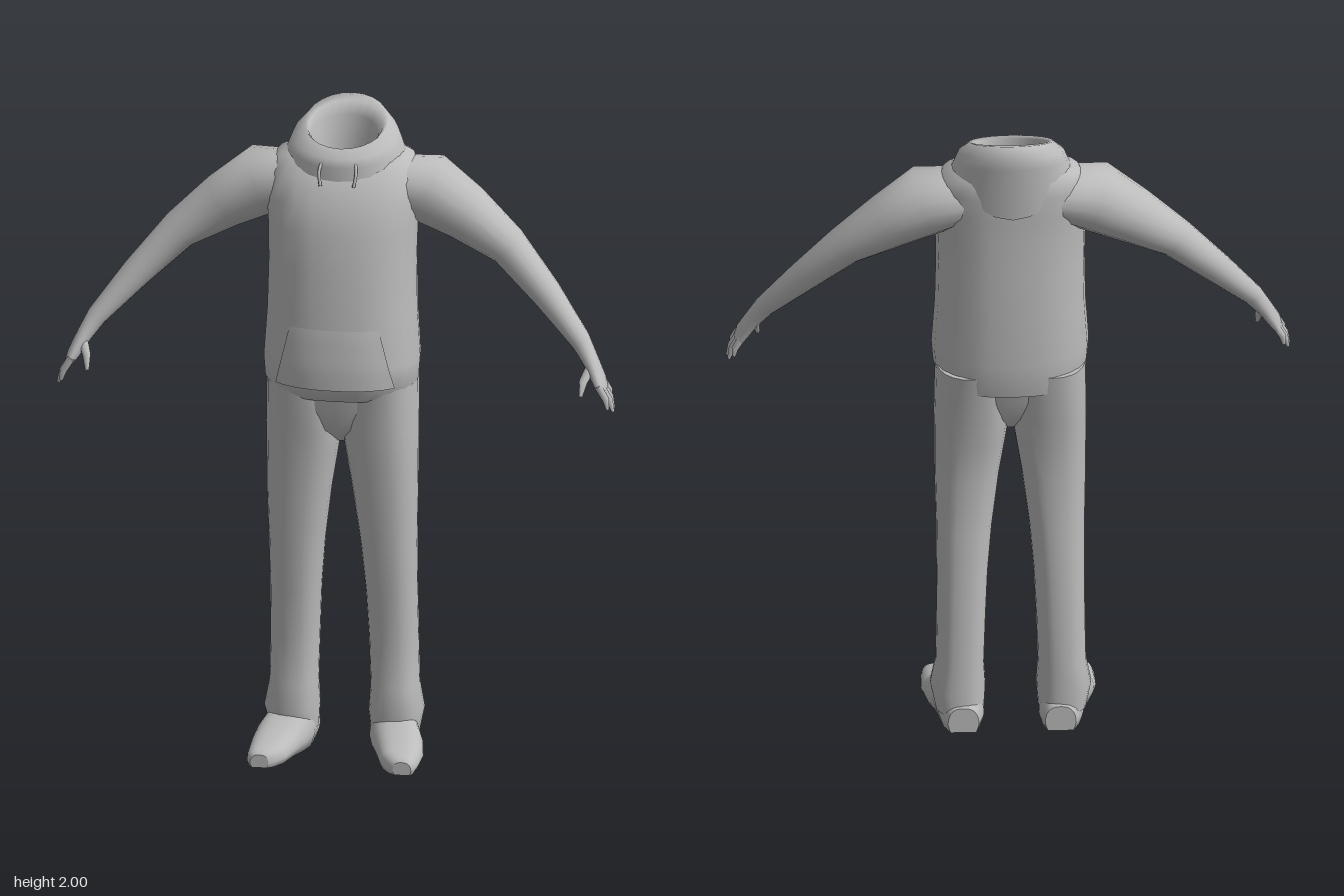
import * as THREE from 'three';

const cloth = new THREE.MeshStandardMaterial({ color: 0xbcbcbc, side: THREE.DoubleSide });
cloth.name = 'plain grey';

const V = (x, y, z) => new THREE.Vector3(x, y, z);
const N = 24;

// Ring point of a rounded section: c centre, u and v half-axis vectors, n squareness
function ringPoint(c, u, v, a, n = 2) {
  const p = (t) => Math.sign(t) * Math.pow(Math.abs(t), 2 / n);
  return c.clone().addScaledVector(u, p(Math.cos(a))).addScaledVector(v, p(Math.sin(a)));
}
function ring(c, u, v, n, count = N) {
  return Array.from({ length: count }, (_, i) => ringPoint(c, u, v, (i / count) * Math.PI * 2, n));
}

// Skin over rings; side = -1 mirrors across x
function loft(name, rings, { side = 1, capStart = true, capEnd = true } = {}) {
  const n = rings[0].length, pos = [], idx = [];
  const put = (p) => pos.push(p.x * side, p.y, p.z);
  const tri = (a, b, c) => (side > 0 ? idx.push(a, b, c) : idx.push(a, c, b));
  rings.forEach((r) => r.forEach(put));
  for (let j = 0; j < rings.length - 1; j++) {
    for (let i = 0; i < n; i++) {
      const a = j * n + i, b = j * n + ((i + 1) % n);
      tri(a, a + n, b);
      tri(b, a + n, b + n);
    }
  }
  const cap = (r, start, end) => {
    const k = pos.length / 3;
    // separate rim vertices keep the cap edge crisp
    r.forEach(put);
    put(r.reduce((s, p) => s.add(p), V(0, 0, 0)).divideScalar(n));
    for (let i = 0; i < n; i++) {
      const a = k + i, b = k + ((i + 1) % n);
      start ? tri(a, b, k + n) : tri(b, a, k + n);
    }
  };
  if (capStart) cap(rings[0], true);
  if (capEnd) cap(rings[rings.length - 1], false);
  return meshFrom(name, pos, idx);
}
function meshFrom(name, pos, idx) {
  const g = new THREE.BufferGeometry();
  g.setAttribute('position', new THREE.Float32BufferAttribute(pos, 3));
  g.setIndex(idx);
  g.computeVertexNormals();
  const m = new THREE.Mesh(g, cloth);
  m.name = name;
  return m;
}

// Horizontal section: [y, x min, x max, z front, z back]
const flat = ([y, x0, x1, zf, zb], n) =>
  ring(V((x0 + x1) / 2, y, (zf + zb) / 2), V((x1 - x0) / 2, 0, 0), V(0, 0, (zf - zb) / 2), n);

// Torso sections: [y, half width, z front, z back]
const torso = [
  [1.14, 0.215, 0.14, -0.175], [1.185, 0.23, 0.18, -0.185], [1.25, 0.235, 0.182, -0.19],
  [1.4, 0.225, 0.172, -0.193], [1.55, 0.222, 0.158, -0.192], [1.66, 0.225, 0.142, -0.19],
  [1.74, 0.232, 0.122, -0.192], [1.81, 0.23, 0.085, -0.195], [1.86, 0.205, 0.04, -0.19],
  [1.885, 0.15, 0.0, -0.17],
];
function torsoAt(y) {
  let i = 0;
  while (i < torso.length - 2 && torso[i + 1][0] < y) i++;
  const t = (y - torso[i][0]) / (torso[i + 1][0] - torso[i][0]);
  return torso[i].map((v, k) => v + (torso[i + 1][k] - v) * t);
}

// Front pouch laid over the belly
function pocket() {
  const rows = 8, cols = 12, pos = [], idx = [];
  for (let j = 0; j <= rows; j++) {
    const t = j / rows, [y, w, zf, zb] = torsoAt(1.19 + 0.185 * t);
    const half = 0.18 - 0.045 * t;
    for (let i = 0; i <= cols; i++) {
      const x = half * (i / cols * 2 - 1);
      const z = (zf + zb) / 2 + (zf - zb) / 2 * Math.pow(1 - Math.pow(Math.abs(x) / w, 2.3), 1 / 2.3);
      pos.push(x, y, z + 0.006 * Math.sqrt(1 - t) + 0.001);
      if (i < cols && j < rows) {
        const a = j * (cols + 1) + i, b = a + cols + 1;
        idx.push(a, a + 1, b, a + 1, b + 1, b);
      }
    }
  }
  return meshFrom('frontPocket', pos, idx);
}

// Tilted hood ring: low in front, high behind, with an optional dip at the back
function hoodRing([cz, rx, rz, y, tilt, dip = 0]) {
  return Array.from({ length: N }, (_, i) => {
    const a = (i / N) * Math.PI * 2, s = Math.sin(a);
    return V(rx * Math.cos(a), y - tilt * s - dip * Math.max(0, -s) ** 3, cz + rz * s);
  });
}

// Limb along a path in x/y: sections [x, y, z, in-plane radius, z radius]
function limb(name, secs, side, count) {
  return loft(name, secs.map(([x, y, z, r, b], i) => {
    const p = secs[Math.max(0, i - 1)], q = secs[Math.min(secs.length - 1, i + 1)];
    const d = V(q[0] - p[0], q[1] - p[1], 0).normalize();
    return ring(V(x, y, z), V(d.y * r, -d.x * r, 0), V(0, 0, b), 2, count);
  }), { side });
}

const arm = [
  [0.13, 1.775, -0.065, 0.08, 0.1], [0.255, 1.757, -0.07, 0.106, 0.113], [0.365, 1.688, -0.065, 0.086, 0.088],
  [0.495, 1.597, -0.045, 0.06, 0.065], [0.62, 1.468, 0.002, 0.046, 0.05], [0.73, 1.345, 0.055, 0.031, 0.036],
  [0.765, 1.29, 0.08, 0.024, 0.038], [0.793, 1.24, 0.1, 0.02, 0.05], [0.805, 1.215, 0.105, 0.014, 0.048],
];
const leg = [
  [0.05, 0.08, 0.225, 0.03, -0.14], [0.12, 0.075, 0.24, 0.05, -0.14], [0.2, 0.08, 0.225, 0.038, -0.138],
  [0.35, 0.075, 0.222, 0.036, -0.135], [0.5, 0.068, 0.221, 0.055, -0.128], [0.65, 0.055, 0.222, 0.073, -0.12],
  [0.82, 0.033, 0.226, 0.09, -0.112], [0.95, 0.012, 0.227, 0.104, -0.128], [1.03, 0, 0.228, 0.115, -0.142],
  [1.2, 0, 0.225, 0.138, -0.172],
];
// Shoe sections: [z, centre x, half width, height]
const shoe = [
  [-0.145, 0.145, 0.05, 0.08], [-0.1, 0.148, 0.072, 0.12], [0, 0.158, 0.082, 0.135], [0.05, 0.175, 0.085, 0.105],
  [0.1, 0.19, 0.077, 0.073], [0.17, 0.2, 0.064, 0.06], [0.205, 0.21, 0.048, 0.052], [0.218, 0.215, 0.03, 0.04],
];

export function createModel() {
  const model = new THREE.Group();
  model.name = 'hoodedFigure';

  // Hooded top
  model.add(loft('torso', torso.map(([y, w, f, b]) => flat([y, -w, w, f, b], 2.3)), { capEnd: false }));
  model.add(pocket());
  model.add(loft('hood', [
    [-0.06, 0.2, 0.14, 1.815, 0.035, 0.1], [-0.068, 0.17, 0.15, 1.89, 0.035], [-0.07, 0.158, 0.143, 1.92, 0.04],
    [-0.078, 0.125, 0.125, 1.953, 0.046], [-0.065, 0.112, 0.105, 1.943, 0.044], [-0.045, 0.1, 0.09, 1.915, 0.04],
    [-0.05, 0.092, 0.085, 1.82, 0.01], [-0.05, 0.07, 0.07, 1.72, 0],
  ].map(hoodRing), { capStart: false }));

  // Hips joining the two legs
  model.add(loft('hips', [
    [0.98, -0.02, 0.02, 0.03, -0.06], [1.03, -0.1, 0.1, 0.095, -0.11],
    [1.1, -0.19, 0.19, 0.12, -0.14], [1.2, -0.215, 0.215, 0.135, -0.165],
  ].map((s) => flat(s, 2.3))));

  for (const side of [1, -1]) {
    const tag = side > 0 ? 'left' : 'right';
    model.add(limb(tag + 'Arm', arm, side, 16));

    // Four fingers and a thumb
    [[0.063, 1.175, 0.82], [0.092, 1.152, 0.834], [0.12, 1.15, 0.837], [0.148, 1.165, 0.825]].forEach(([z, y, x], i) => {
      const z0 = 0.068 + i * 0.025;
      model.add(limb(tag + 'Finger' + (i + 1), [
        [0.795, 1.235, z0, 0.012, 0.013], [(0.805 + x) / 2 + 0.004, (1.225 + y) / 2, (z0 + z) / 2, 0.011, 0.011], [x, y, z, 0.005, 0.005],
      ], side, 8));
    });
    model.add(limb(tag + 'Thumb', [
      [0.77, 1.285, 0.09, 0.016, 0.018], [0.75, 1.245, 0.135, 0.013, 0.014], [0.745, 1.205, 0.155, 0.006, 0.006],
    ], side, 8));

    // Trouser leg and shoe
    model.add(loft(tag + 'Leg', leg.map((s) => flat(s, 2.4)), { side }));
    model.add(loft(tag + 'Shoe', shoe.map(([z, x, w, h]) =>
      ring(V(x, h / 2, z), V(0, h / 2, 0), V(w, 0, 0), 2.6).map((p) => {
        // sole stays wide, upper narrows
        p.x = x + (p.x - x) * (1.03 - 0.25 * p.y / h);
        if (p.y < h * 0.12) p.y = 0;
        return p;
      })), { side }));

    // Drawstring hanging from the hood
    const cord = new THREE.CatmullRomCurve3([
      V(0.05 * side, 1.872, 0.06), V(0.056 * side, 1.845, 0.088), V(0.05 * side, 1.805, 0.1),
    ]);
    const string = new THREE.Mesh(new THREE.TubeGeometry(cord, 6, 0.005, 6), cloth);
    string.name = tag + 'Drawstring';
    model.add(string);
  }
  return model;
}
